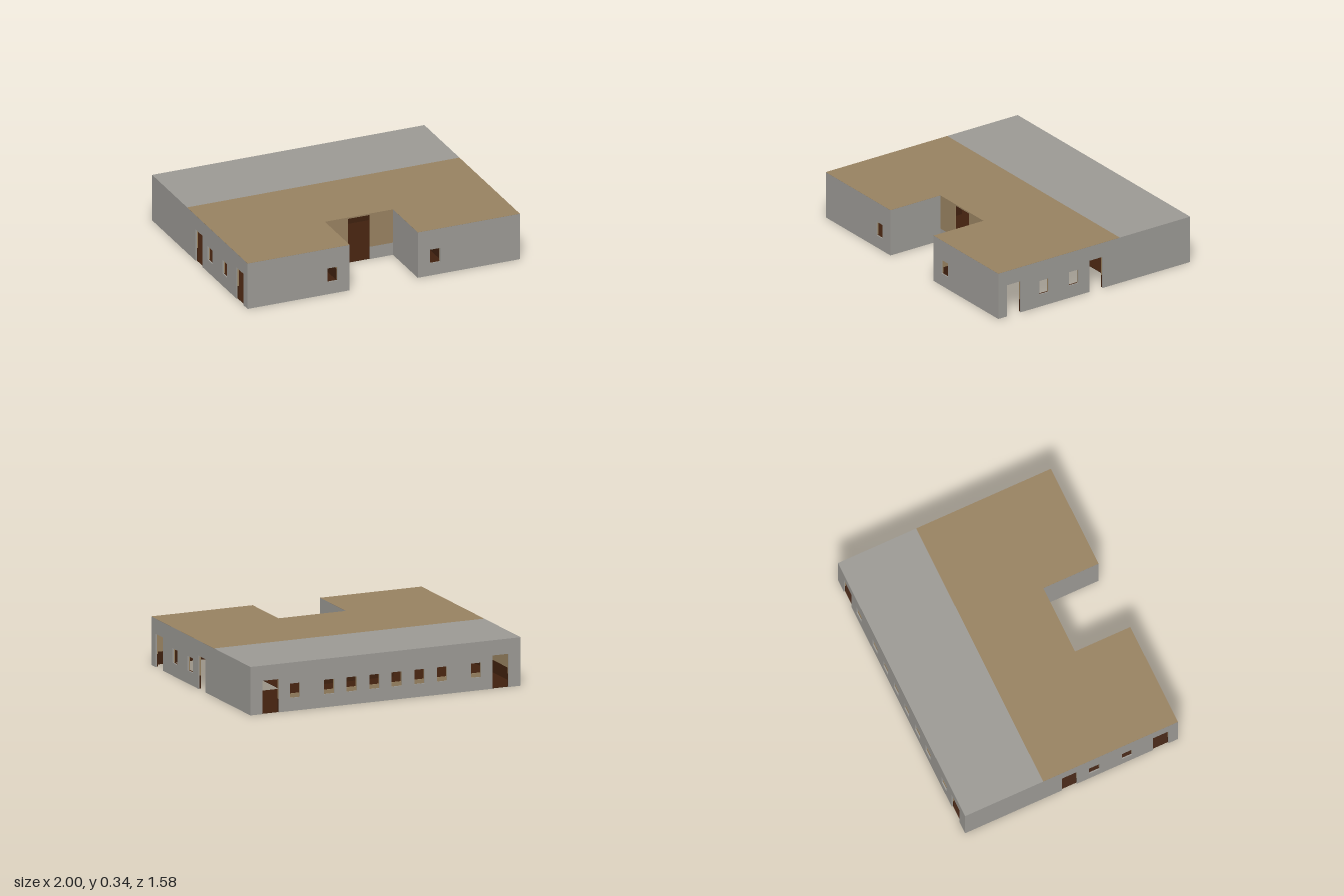
import * as THREE from 'three';
import { mergeGeometries } from 'three/addons/utils/BufferGeometryUtils.js';

const H = 0.334, BASE = 0.09, T = 0.009;
const material = (name, color) => {
  const m = new THREE.MeshStandardMaterial({ color });
  m.name = name;
  return m;
};

// Box given by its minimum and maximum corners
function block(x0, x1, y0, y1, z0, z1) {
  return new THREE.BoxGeometry(x1 - x0, y1 - y0, z1 - z0)
    .translate((x0 + x1) / 2, (y0 + y1) / 2, (z0 + z1) / 2);
}

// Wall layer running along one axis, with openings [from, to, bottom, top]
function panel(axis, at, thick, from, to, y0, y1, openings = []) {
  const parts = [];
  const add = (a, b, low, high) => {
    low = Math.max(low, y0);
    high = Math.min(high, y1);
    if (b - a < 1e-4 || high - low < 1e-4) return;
    parts.push(axis === 'x'
      ? block(a, b, low, high, at - thick / 2, at + thick / 2)
      : block(at - thick / 2, at + thick / 2, low, high, a, b));
  };
  let cursor = from;
  for (const [a, b, low, high] of [...openings].sort((p, q) => p[0] - q[0])) {
    add(cursor, a, y0, y1);
    add(a, b, y0, low);
    add(a, b, high, y1);
    cursor = b;
  }
  add(cursor, to, y0, y1);
  return mergeGeometries(parts);
}

export function createModel() {
  const model = new THREE.Group();
  model.name = 'building';
  const grey = material('grey render', 0x9b9994);
  const tan = material('tan plaster', 0x978160);
  const brown = material('dark brown floor', 0x3f200e);

  const add = (name, geometry, mat) => {
    const mesh = new THREE.Mesh(geometry, mat);
    mesh.name = name;
    model.add(mesh);
  };

  // Outer layer plus inner plaster and wainscot; side points to the inside
  function wall(name, axis, face, side, from, to, openings, inner = openings) {
    add(name + 'Outside', panel(axis, face + side * T / 2, T, from, to, 0, H, openings), grey);
    const at = face + side * T * 1.5;
    add(name + 'Plaster', panel(axis, at, T, from + T, to - T, BASE, H, inner), tan);
    add(name + 'Wainscot', panel(axis, at, T, from + T, to - T, 0.002, BASE, inner), brown);
  }

  // Back wall: a door at each end and eight windows
  const backOpenings = (sill) => [
    ...[-0.67, -0.417, -0.25, -0.083, 0.083, 0.25, 0.417, 0.67]
      .map((c) => [c - 0.0375, c + 0.0375, sill, 0.19]),
    [-0.91, -0.79, 0, 0.23], [0.79, 0.91, 0, 0.23],
  ];
  wall('backWall', 'x', -0.79, 1, -1, 1, backOpenings(BASE), backOpenings(0.118));

  // Mirrored side walls, front wings, courtyard sides and partitions
  const sideOpenings = [
    [-0.07, 0.04, 0, 0.23], [0.13, 0.21, BASE, 0.19],
    [0.375, 0.45, BASE, 0.19], [0.605, 0.72, 0, 0.23],
  ];
  const partitionDoor = [[0.6, 0.71, 0, 0.23]];
  for (const s of [1, -1]) {
    const n = s > 0 ? 'left' : 'right';
    wall(n + 'SideWall', 'z', s, -s, -0.79, 0.79, sideOpenings);
    const span = (a, b) => (s > 0 ? [a, b] : [-b, -a]);
    wall(n + 'FrontWall', 'x', 0.79, -1, ...span(0.25, 1),
      [[...span(0.34, 0.415), BASE, 0.19]]);
    wall(n + 'CourtyardSide', 'z', s * 0.25, s, 0.38, 0.79, []);
    add(n + 'PartitionPlaster', panel('z', s * 0.51, T, 0.02, 0.775, BASE, H, partitionDoor), tan);
    add(n + 'PartitionWainscot', panel('z', s * 0.51, T, 0.02, 0.6, 0.002, BASE), brown);
    add(n + 'PartitionEnd', panel('z', s * 0.51, T, 0.71, 0.775, 0.002, BASE), tan);
  }

  // Entrance wall at the back of the courtyard
  const entrance = [[-0.08, 0.08, 0, 0.325]];
  add('entranceWallUpper', panel('x', 0.375, T, -0.25, 0.25, BASE, H, entrance), tan);
  add('entranceWallBase', panel('x', 0.375, T, -0.25, 0.25, 0, BASE, entrance), grey);

  // Wall behind the lobby
  add('lobbyWallPlaster', panel('x', -0.2, T, -0.33, 0.33, BASE, H), tan);
  add('lobbyWallWainscot', panel('x', -0.2, T, -0.33, 0.33, 0.002, BASE), brown);

  // Floor, left open under the front room on one side
  add('floor', mergeGeometries([
    block(-0.991, 0.991, 0, 0.004, -0.781, -0.2),
    block(-0.991, 0.51, 0, 0.004, -0.2, 0.375),
    block(-0.991, -0.259, 0, 0.004, 0.375, 0.781),
    block(0.259, 0.51, 0, 0.004, 0.375, 0.781),
  ]), brown);

  // Ceiling
  add('ceiling', mergeGeometries([
    block(-0.991, 0.991, 0.327, 0.333, -0.781, 0.375),
    block(-0.991, -0.259, 0.327, 0.333, 0.375, 0.781),
    block(0.259, 0.991, 0.327, 0.333, 0.375, 0.781),
  ]), grey);

  // Roof in two colours
  add('backRoof', block(-1, 1, H, H + 0.001, -0.79, -0.21), grey);
  add('frontRoof', mergeGeometries([
    block(-1, 1, H, H + 0.001, -0.21, 0.38),
    block(-1, -0.25, H, H + 0.001, 0.38, 0.79),
    block(0.25, 1, H, H + 0.001, 0.38, 0.79),
  ]), tan);

  return model;
}
